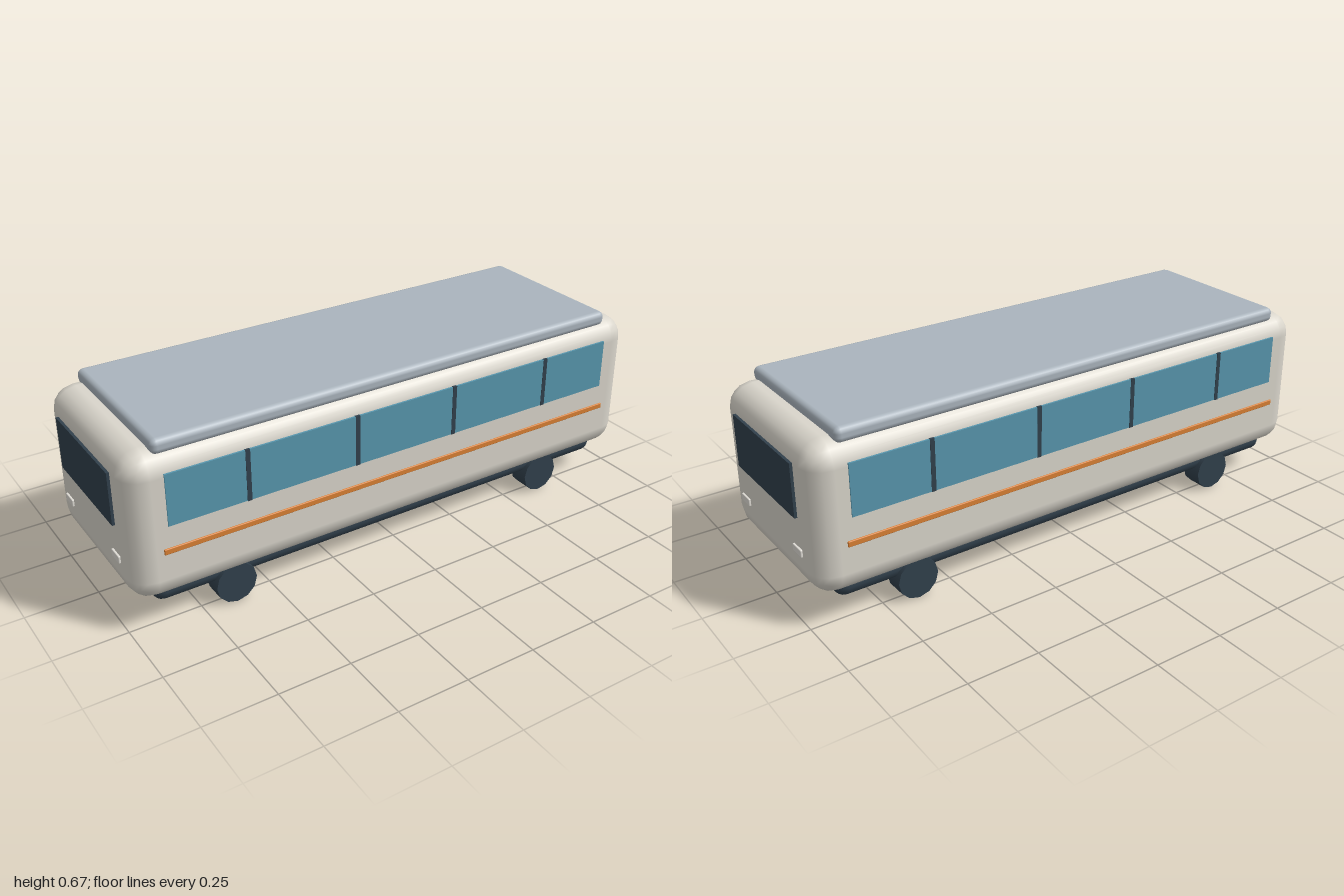
import * as THREE from 'three';
import { RoundedBoxGeometry } from 'three/addons/geometries/RoundedBoxGeometry.js';

const paint = (name, color) => {
  const m = new THREE.MeshStandardMaterial({ color });
  m.name = name;
  return m;
};

export function createModel() {
  const bus = new THREE.Group();
  bus.name = 'bus';

  const cream = paint('cream paint', 0xd9d5cb);
  const grey = paint('roof grey', 0xaab4bd);
  const dark = paint('dark slate', 0x31404c);
  const glass = paint('blue glass', 0x5896ad);
  const orange = paint('orange stripe', 0xd98034);
  const lamp = paint('lamp white', 0xe0ddd6);

  const add = (name, geometry, material, x, y, z) => {
    const mesh = new THREE.Mesh(geometry, material);
    mesh.name = name;
    mesh.position.set(x, y, z);
    bus.add(mesh);
    return mesh;
  };
  const rounded = (w, h, d, r) => new RoundedBoxGeometry(w, h, d, 2, r);
  const box = (w, h, d) => new THREE.BoxGeometry(w, h, d);

  // Main volumes
  add('body', rounded(1.98, 0.515, 0.64, 0.08), cream, 0, 0.3745, 0);
  add('chassis', rounded(1.82, 0.08, 0.55, 0.038), dark, 0, 0.118, 0);
  add('roofPanel', rounded(1.775, 0.052, 0.59, 0.02), grey, 0, 0.64, 0);

  for (const side of [1, -1]) {
    // Long window band, pillars and stripe
    add('sideWindows', box(1.735, 0.178, 0.008), glass, 0, 0.475, side * 0.32);
    for (const x of [-0.594, -0.197, 0.19, 0.588]) {
      add('windowPillar', box(0.016, 0.18, 0.009), dark, x, 0.475, side * 0.321);
    }
    add('sideStripe', rounded(1.775, 0.02, 0.009, 0.003), orange, 0, 0.299, side * 0.3205);

    // Wheels
    for (const x of [-0.638, 0.638]) {
      const tyre = new THREE.CylinderGeometry(0.072, 0.072, 0.076, 12).rotateX(Math.PI / 2);
      add('wheel', tyre, dark, x, 0.072, side * 0.253);
    }
  }

  // Windscreens and lamps at both ends
  for (const end of [1, -1]) {
    add('endWindow', box(0.0095, 0.183, 0.416), dark, end * 0.9952, 0.4635, 0);
    for (const z of [-0.193, 0.193]) {
      add('lamp', rounded(0.0095, 0.026, 0.057, 0.003), lamp, end * 0.9925, 0.253, z);
    }
  }

  return bus;
}
